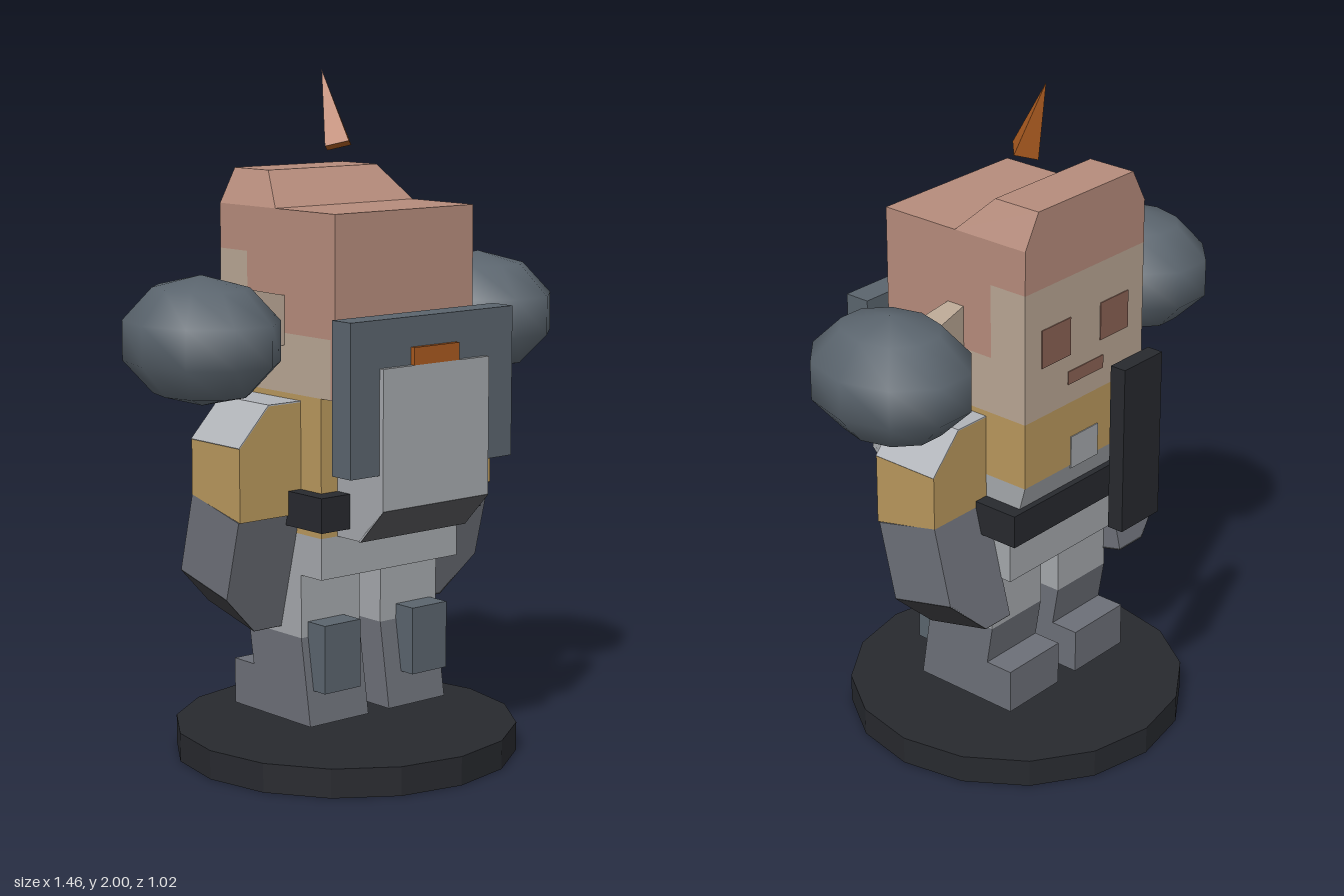
import * as THREE from 'three';

const COLORS = {
  hair: 0xb58b7b, skin: 0xb8a593, feature: 0x8a6254, gold: 0xb8975c, grey: 0xa4a7ab,
  darkGrey: 0x6c6f77, strap: 0x55565a, steel: 0x5a646d, black: 0x27292e, orange: 0xa8591f,
  shoulder: 0xb0b3b8, glove: 0x3e3f42,
};
const mats = {};
for (const k in COLORS) {
  mats[k] = new THREE.MeshStandardMaterial({ color: COLORS[k], flatShading: true });
}
const smoothSteel = new THREE.MeshStandardMaterial({ color: COLORS.steel });

function add(parent, name, geo, mat) {
  const mesh = new THREE.Mesh(geo, mat);
  mesh.name = name;
  parent.add(mesh);
  return mesh;
}

// Box from its min and max corners
function box(x0, x1, y0, y1, z0, z1) {
  return new THREE.BoxGeometry(x1 - x0, y1 - y0, z1 - z0)
    .translate((x0 + x1) / 2, (y0 + y1) / 2, (z0 + z1) / 2);
}

function extrude(points, depth) {
  const shape = new THREE.Shape(points.map(([a, b]) => new THREE.Vector2(a, b)));
  return new THREE.ExtrudeGeometry(shape, { depth, bevelEnabled: false }).translate(0, 0, -depth / 2);
}

// Side profile of [z, y] points, extruded from x0 to x1
function sideProfile(points, x0, x1) {
  return extrude(points, x1 - x0).rotateY(-Math.PI / 2).translate((x0 + x1) / 2, 0, 0);
}

function moveVertices(geo, rule) {
  const p = geo.attributes.position;
  const v = new THREE.Vector3();
  for (let i = 0; i < p.count; i++) {
    v.fromBufferAttribute(p, i);
    rule(v);
    p.setXYZ(i, v.x, v.y, v.z);
  }
  geo.computeVertexNormals();
  return geo;
}

function buildHead() {
  const head = new THREE.Group();
  head.name = 'head';
  add(head, 'hair', sideProfile([[0.26, 1.1], [0.26, 1.62], [-0.255, 1.62], [-0.255, 1.49],
    [-0.13, 1.49], [-0.13, 1.27], [0.24, 1.27], [0.24, 1.1]], -0.26, 0.26), mats.hair);
  add(head, 'face', sideProfile([[-0.255, 1.1], [-0.255, 1.49], [-0.13, 1.49], [-0.13, 1.27],
    [0.24, 1.27], [0.24, 1.1]], -0.26, 0.26), mats.skin);
  // Raised hair block, narrowed at the top
  add(head, 'hairCrest', moveVertices(box(-0.26, 0.26, 1.62, 1.72, -0.255, 0), (v) => {
    if (v.y > 1.7) {
      v.x = Math.sign(v.x) * 0.205;
      if (v.z > -0.1) v.z = -0.1;
    }
  }), mats.hair);
  for (const s of [-1, 1]) {
    add(head, 'eye', box(s * 0.128 - 0.062, s * 0.128 + 0.062, 1.25, 1.365, -0.258, -0.25), mats.feature);
    // Ear flares slightly outward
    add(head, 'ear', moveVertices(box(0.25, 0.37, 1.235, 1.4, -0.04, 0.04), (v) => {
      if (v.x < 0.3) v.z *= 0.7;
      else if (v.y > 1.3) v.y = 1.375;
      if (s < 0) v.x = -0.62 - (-v.x) - 0;
    }), mats.skin);
  }
  add(head, 'mouth', box(-0.08, 0.075, 1.16, 1.2, -0.258, -0.25), mats.feature);

  // Four-sided spike leaning to the back
  const spike = add(head, 'spike', new THREE.ConeGeometry(0.05, 0.228, 4).translate(0, 0.114, 0), mats.orange);
  spike.position.set(0, 1.785, -0.033);
  spike.rotation.x = -0.33;
  return head;
}

function buildTorso() {
  const torso = new THREE.Group();
  torso.name = 'torso';
  add(torso, 'shirt', sideProfile([[0.2, 1.1], [0.2, 0.7], [-0.1, 0.7], [-0.1, 0.9],
    [-0.255, 0.9], [-0.255, 1.1]], -0.26, 0.26), mats.gold);
  add(torso, 'hips', sideProfile([[-0.1, 0.9], [-0.255, 0.9], [-0.2, 0.7], [-0.2, 0.58],
    [0.2, 0.58], [0.2, 0.7], [-0.1, 0.7]], -0.26, 0.26), mats.grey);
  add(torso, 'shirtOpening', box(-0.06, 0.06, 0.89, 0.99, -0.258, -0.24), mats.grey);
  add(torso, 'belt', box(-0.305, 0.305, 0.73, 0.83, -0.255, 0.255), mats.black);
  return torso;
}

function buildPack() {
  const pack = new THREE.Group();
  pack.name = 'pack';
  add(pack, 'packBody', sideProfile([[0.2, 1.2], [0.2, 0.7], [0.3, 0.7], [0.395, 0.8], [0.395, 1.2]],
    -0.2, 0.2), mats.grey);
  add(pack, 'packUnderside', sideProfile([[0.29, 0.698], [0.3, 0.698], [0.397, 0.8], [0.38, 0.8]],
    -0.2, 0.2), mats.strap);
  add(pack, 'packPlate', box(-0.305, 0.305, 0.9, 1.335, 0.3, 0.38), mats.steel);
  add(pack, 'packTab', box(-0.085, 0.085, 1.2, 1.25, 0.36, 0.395), mats.orange);
  return pack;
}

// Arm on one side (s = 1 or -1); the forearm swings back
function buildArm(s) {
  const arm = new THREE.Group();
  arm.name = s > 0 ? 'leftArm' : 'rightArm';
  const flip = (pts) => pts.map(([x, y]) => [s * x, y]);
  add(arm, 'upperArm', moveVertices(extrude(flip([[0.26, 1.08], [0.375, 1.08], [0.48, 0.97],
    [0.48, 0.785], [0.26, 0.785]]), 0.22), (v) => {
    if (v.y < 0.8) v.y -= v.z * 0.23;
  }), mats.gold);
  add(arm, 'shoulderCap', extrude(flip([[0.26, 1.084], [0.376, 1.084], [0.482, 0.972],
    [0.478, 0.968], [0.374, 1.076], [0.26, 1.076]]), 0.22), mats.shoulder);
  const fore = new THREE.Group();
  fore.name = 'forearm';
  fore.position.set(0, 0.785, -0.003);
  fore.rotation.x = 0.242;
  add(fore, 'sleeve', extrude(flip([[0.26, 0], [0.48, 0], [0.48, -0.237], [0.36, -0.353],
    [0.255, -0.353]]), 0.22), mats.darkGrey);
  add(fore, 'hand', extrude(flip([[0.481, -0.237], [0.361, -0.355], [0.255, -0.355],
    [0.255, -0.35], [0.358, -0.35], [0.476, -0.235]]), 0.22), mats.glove);
  arm.add(fore);
  return arm;
}

function buildLeg(s) {
  const leg = new THREE.Group();
  leg.name = s > 0 ? 'leftLeg' : 'rightLeg';
  const a = s > 0 ? 0.04 : -0.26;
  add(leg, 'thigh', box(a, a + 0.22, 0.395, 0.585, -0.13, 0.11), mats.grey);
  add(leg, 'boot', sideProfile([[0.11, 0.395], [0.15, 0.14], [-0.2, 0.14], [-0.2, 0.275],
    [-0.11, 0.275], [-0.13, 0.395]], a, a + 0.22), mats.darkGrey);
  const c = s * 0.168;
  add(leg, 'calfPad', box(c - 0.067, c + 0.067, 0.24, 0.44, 0.1, 0.185), mats.steel);
  return leg;
}

export function createModel() {
  const model = new THREE.Group();
  model.name = 'figure';
  add(model, 'base', new THREE.CylinderGeometry(0.508, 0.508, 0.085, 16).translate(0, 0.0425, 0), mats.black);
  model.add(buildHead(), buildTorso(), buildPack());
  add(model, 'floatingBar', box(-0.083, 0.083, 0.765, 1.27, -0.465, -0.415), mats.black);
  for (const s of [-1, 1]) {
    model.add(buildArm(s), buildLeg(s));
    // Faceted ball beside each ear
    const ball = add(model, s > 0 ? 'leftBall' : 'rightBall', new THREE.SphereGeometry(1, 10, 5), smoothSteel);
    ball.scale.set(0.215, 0.183, 0.262);
    ball.position.set(s * 0.525, 1.268, 0);
  }
  return model;
}
